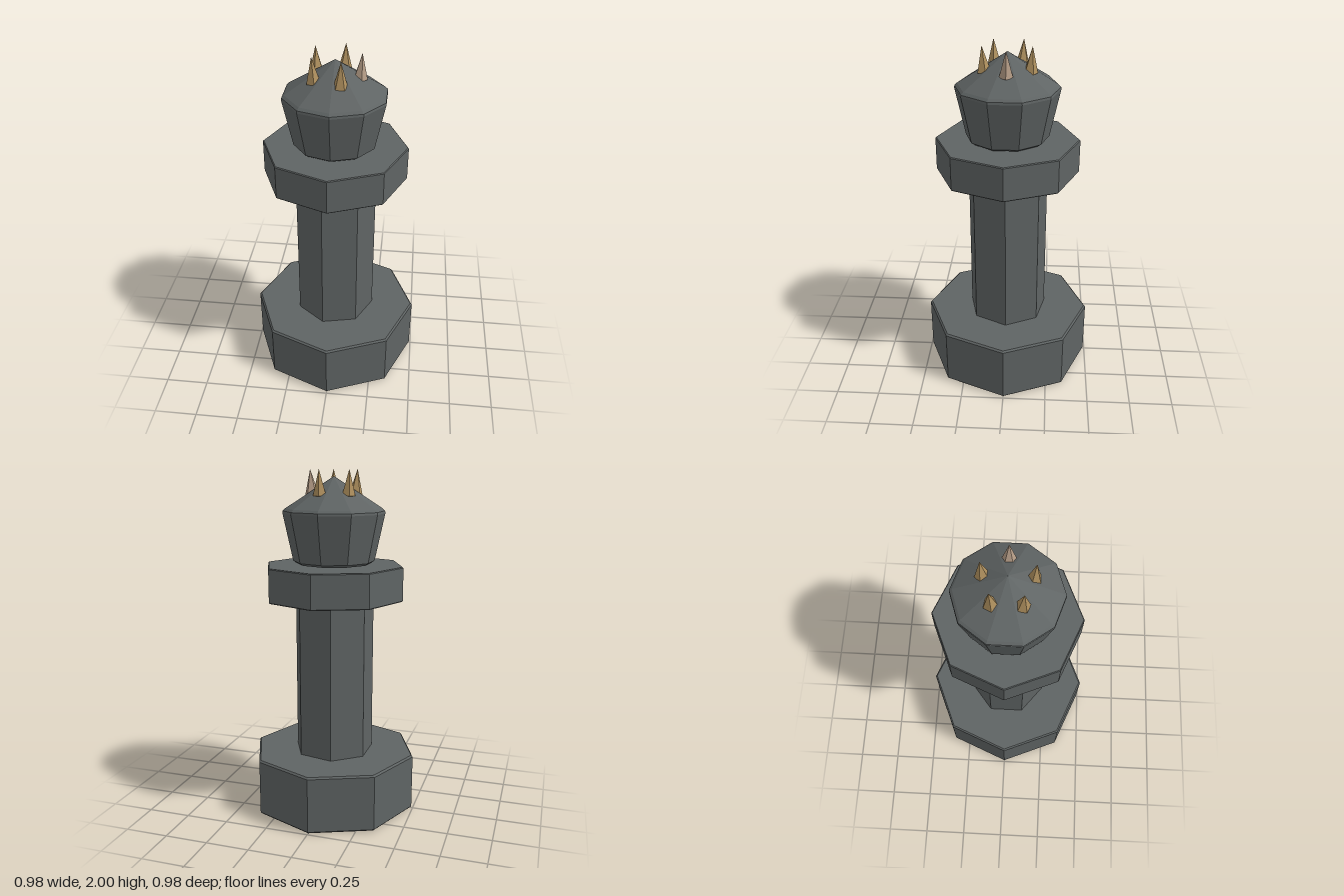
import * as THREE from 'three';

const stone = new THREE.MeshStandardMaterial({ color: 0x5f6464 });
stone.name = 'dark stone';
const bronze = new THREE.MeshStandardMaterial({ color: 0xb0915f });
bronze.name = 'bronze';
const paleBronze = new THREE.MeshStandardMaterial({ color: 0xb59d87 });
paleBronze.name = 'pale bronze';

// Faceted solid of revolution from a bottom-to-top profile of [radius, y]
function faceted(name, profile, sides, material, start = 0) {
  const points = profile.map(([r, y]) => new THREE.Vector2(r, y));
  const geometry = new THREE.LatheGeometry(points, sides, start).toNonIndexed();
  geometry.computeVertexNormals();
  const mesh = new THREE.Mesh(geometry, material);
  mesh.name = name;
  return mesh;
}

// Profile of a drum with bevelled rims
function drum(r, y0, y1, bevel) {
  return [[0, y0], [r - bevel, y0], [r, y0 + bevel], [r, y1 - bevel], [r - bevel, y1], [0, y1]];
}

export function createModel() {
  const group = new THREE.Group();
  group.name = 'spikedPillar';

  // Octagonal base and collar, seven-sided shaft with a corner towards +x
  group.add(
    faceted('base', drum(0.492, 0, 0.34, 0.01), 8, stone),
    faceted('shaft', [[0, 0.32], [0.236, 0.32], [0.236, 1.29], [0, 1.29]], 7, stone, Math.PI / 2),
    faceted('collar', drum(0.41, 1.265, 1.463, 0.005), 8, stone),
  );

  // Ten-sided flared head with a shallow pointed roof
  group.add(faceted('head', [
    [0, 1.455], [0.12, 1.463], [0.215, 1.471], [0.235, 1.485],
    [0.293, 1.755], [0.291, 1.768], [0.277, 1.782], [0, 1.96],
  ], 10, stone));

  // Ring of five spikes leaning slightly outward
  const crown = new THREE.Group();
  crown.name = 'crown';
  for (let i = 0; i < 5; i++) {
    const angle = (i / 5) * Math.PI * 2;
    const spike = faceted('spike', [[0, 0], [0.04, 0.012], [0, 0.155]], 5,
      i === 0 ? paleBronze : bronze, Math.PI / 2 + i * 0.4);
    spike.position.set(0.131, 1.845, 0);
    spike.rotation.z = -0.07;
    const arm = new THREE.Group();
    arm.name = 'spikeMount';
    arm.rotation.y = angle;
    arm.add(spike);
    crown.add(arm);
  }
  group.add(crown);

  return group;
}
